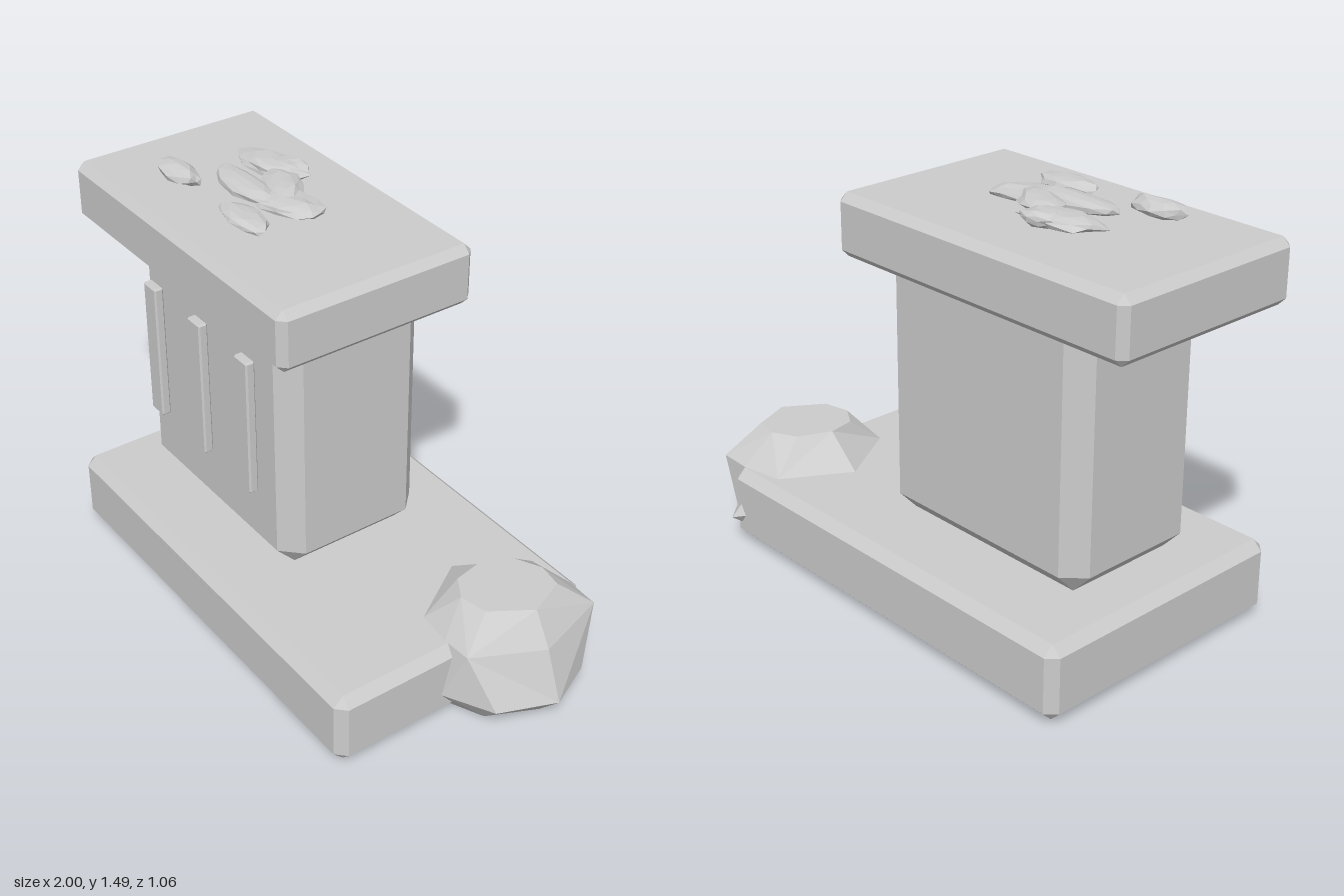
import * as THREE from 'three';
import { ConvexGeometry } from 'three/addons/geometries/ConvexGeometry.js';

const material = new THREE.MeshStandardMaterial({ color: 0xcccccc, flatShading: true });

function addMesh(parent, name, geometry) {
  const mesh = new THREE.Mesh(geometry, material);
  mesh.name = name;
  parent.add(mesh);
  return mesh;
}

// Box with chamfered edges and corners, given as min/max ranges per axis
function chamferBox([x0, x1], [y0, y1], [z0, z1], cx, cy, cz) {
  const centre = new THREE.Vector3((x0 + x1) / 2, (y0 + y1) / 2, (z0 + z1) / 2);
  const a = (x1 - x0) / 2, b = (y1 - y0) / 2, c = (z1 - z0) / 2;
  const points = [];
  for (const i of [-1, 1]) for (const j of [-1, 1]) for (const k of [-1, 1]) {
    points.push(
      new THREE.Vector3(i * a, j * (b - cy), k * (c - cz)),
      new THREE.Vector3(i * (a - cx), j * b, k * (c - cz)),
      new THREE.Vector3(i * (a - cx), j * (b - cy), k * c),
    );
  }
  return new ConvexGeometry(points).translate(centre.x, centre.y, centre.z);
}

// Closed faceted lump from horizontal rings of [x, y, z] points, bottom to top
function loftRings(rings) {
  const n = rings[0].length;
  const positions = rings.flat(2);
  const index = [];
  for (let r = 0; r < rings.length - 1; r++) {
    for (let i = 0; i < n; i++) {
      const j = (i + 1) % n;
      const a = r * n + i, b = r * n + j, c = a + n, d = b + n;
      if ((i + r) % 2) index.push(a, b, d, a, d, c);
      else index.push(a, b, c, b, d, c);
    }
  }
  const top = (rings.length - 1) * n;
  for (let i = 1; i < n - 1; i++) {
    index.push(0, i + 1, i, top, top + i, top + i + 1);
  }
  const geometry = new THREE.BufferGeometry();
  geometry.setAttribute('position', new THREE.Float32BufferAttribute(positions, 3));
  geometry.setIndex(index);
  const flat = geometry.toNonIndexed();
  flat.computeVertexNormals();
  return flat;
}

// Flattened irregular pebble; the jitter depends only on direction so seams stay closed
function pebble(rx, ry, rz, seed) {
  const geometry = new THREE.IcosahedronGeometry(1, 1);
  const p = geometry.attributes.position;
  const v = new THREE.Vector3();
  for (let i = 0; i < p.count; i++) {
    v.fromBufferAttribute(p, i);
    const s = 0.92 + 0.15 * Math.sin(5 * v.x + 7 * v.z + seed * 2.3) * Math.cos(4 * v.y - 3 * v.x + seed);
    const y = THREE.MathUtils.clamp(v.y * s * 1.2, -0.95, 1);
    p.setXYZ(i, v.x * s * rx, y * ry, v.z * s * rz);
  }
  geometry.computeVertexNormals();
  return geometry;
}

export function createModel() {
  const model = new THREE.Group();
  model.name = 'pedestal';

  // Stacked chamfered slabs
  addMesh(model, 'baseSlab', chamferBox([-0.89, 0.75], [0.01, 0.28], [-0.487, 0.53], 0.035, 0.035, 0.035));
  addMesh(model, 'column', chamferBox([-0.75, 0.15], [0.28, 1.24], [-0.255, 0.31], 0.07, 0.075, 0.07));
  addMesh(model, 'topSlab', chamferBox([-1, 0.265], [1.19, 1.41], [-0.35, 0.4], 0.028, 0.028, 0.028));

  // Upright strips on the column front
  const strips = new THREE.Group();
  strips.name = 'frontStrips';
  model.add(strips);
  for (const x of [-0.618, -0.335, -0.052]) {
    addMesh(strips, 'strip', chamferBox([x - 0.038, x + 0.038], [0.555, 1.075], [0.315, 0.35], 0.006, 0.006, 0.006));
  }

  // Boulder resting over the base corner: rings run from -x through the front to +x and the back
  const rings = [
    [0.0, [[0.49, -0.17], [0.56, -0.01], [0.7, 0.06], [0.83, 0], [0.91, -0.17], [0.85, -0.33], [0.72, -0.4], [0.55, -0.34]]],
    [0.1, [[0.45, -0.17], [0.53, 0.03], [0.75, 0.12], [0.92, 0.03], [1.0, -0.17], [0.92, -0.34], [0.77, -0.455], [0.54, -0.4]]],
    [0.28, [[0.42, -0.18], [0.57, 0.06], [0.7, 0.075], [0.81, 0.07], [0.93, -0.17], [0.845, -0.445], [0.72, -0.45], [0.56, -0.42]]],
    [0.388, [[0.56, -0.17], [0.58, -0.07], [0.66, -0.02], [0.76, -0.04], [0.85, -0.18], [0.79, -0.32], [0.7, -0.335], [0.61, -0.29]]],
  ].map(([y, ring]) => ring.map(([x, z]) => [x, y, z]));
  const boulder = new THREE.Group();
  boulder.name = 'boulder';
  model.add(boulder);
  addMesh(boulder, 'boulderBody', loftRings(rings));
  addMesh(boulder, 'boulderSpur', new ConvexGeometry([
    [0.64, 0.11, -0.42], [0.81, 0.1, -0.42], [0.7, 0.02, -0.41],
    [0.7, 0.2, -0.43], [0.7, 0.11, -0.53], [0.72, 0.1, -0.36],
  ].map((p) => new THREE.Vector3(...p))));

  // Flat pebbles scattered over the top slab: x, z, half sizes, turn, height centre
  const pebbles = new THREE.Group();
  pebbles.name = 'pebbles';
  model.add(pebbles);
  [
    [-0.635, 0.195, 0.115, 0.03, 0.056, 0.05, 1.456],
    [-0.255, 0.185, 0.135, 0.021, 0.062, 0, 1.447],
    [-0.5, -0.09, 0.165, 0.025, 0.075, 0.15, 1.452],
    [-0.46, -0.125, 0.085, 0.026, 0.055, 0.3, 1.453],
    [-0.42, 0.065, 0.19, 0.025, 0.065, 0, 1.452],
    [-0.35, -0.03, 0.14, 0.026, 0.07, -0.45, 1.453],
    [-0.25, 0.02, 0.15, 0.022, 0.085, 0.4, 1.448],
  ].forEach(([x, z, rx, ry, rz, turn, y], i) => {
    const stone = addMesh(pebbles, 'pebble', pebble(rx, ry, rz, i + 1));
    stone.position.set(x, y, z);
    stone.rotation.y = turn;
  });

  return model;
}
